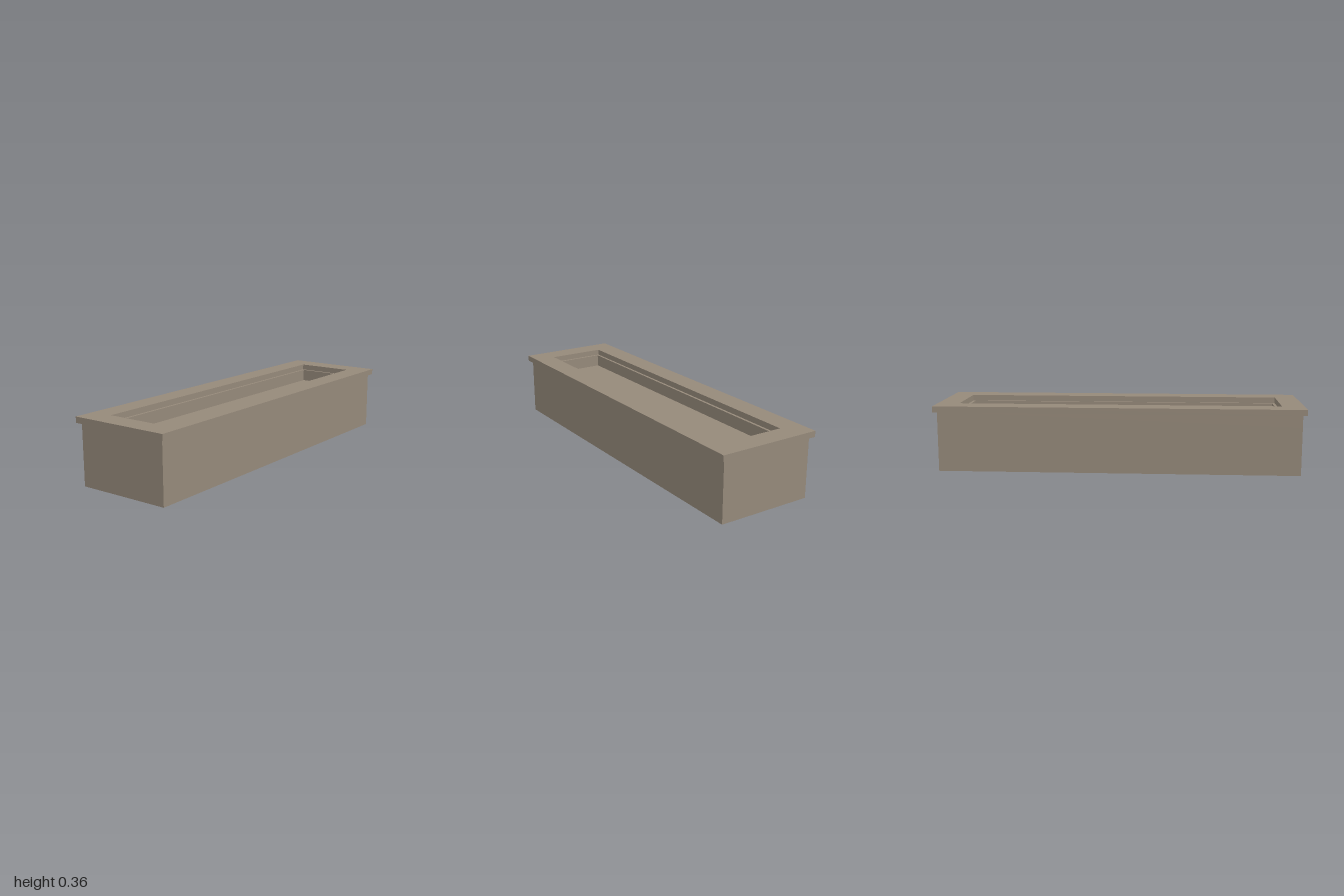
import * as THREE from 'three';

// Rectangular ring lying flat, with its base at y = y0
function frame(halfX, halfZ, holeX, holeZ, y0, y1) {
  const rect = (target, x, z) => {
    target.moveTo(-x, -z);
    target.lineTo(x, -z);
    target.lineTo(x, z);
    target.lineTo(-x, z);
    target.closePath();
    return target;
  };
  const shape = rect(new THREE.Shape(), halfX, halfZ);
  shape.holes.push(rect(new THREE.Path(), holeX, holeZ));
  const geometry = new THREE.ExtrudeGeometry(shape, { depth: y1 - y0, bevelEnabled: false });
  geometry.rotateX(-Math.PI / 2);
  geometry.translate(0, y0, 0);
  return geometry;
}

export function createModel() {
  const group = new THREE.Group();
  group.name = 'planterBox';
  const stone = new THREE.MeshStandardMaterial({ color: 0x95897a });
  stone.name = 'warm grey stone';

  const add = (name, geometry) => {
    const mesh = new THREE.Mesh(geometry, stone);
    mesh.name = name;
    group.add(mesh);
  };

  const floorY = 0.26, wallTop = 0.328, rimTop = 0.36;

  // Solid lower body, whose top is the floor of the recess
  const base = new THREE.BoxGeometry(1.96, floorY, 0.524);
  base.translate(0, floorY / 2, 0);
  add('base', base);

  // Walls around the recess
  add('walls', frame(0.98, 0.262, 0.865, 0.148, floorY, wallTop));

  // Overhanging rim, its opening set back to leave a narrow ledge
  add('rim', frame(1, 0.282, 0.88, 0.162, wallTop, rimTop));

  return group;
}
